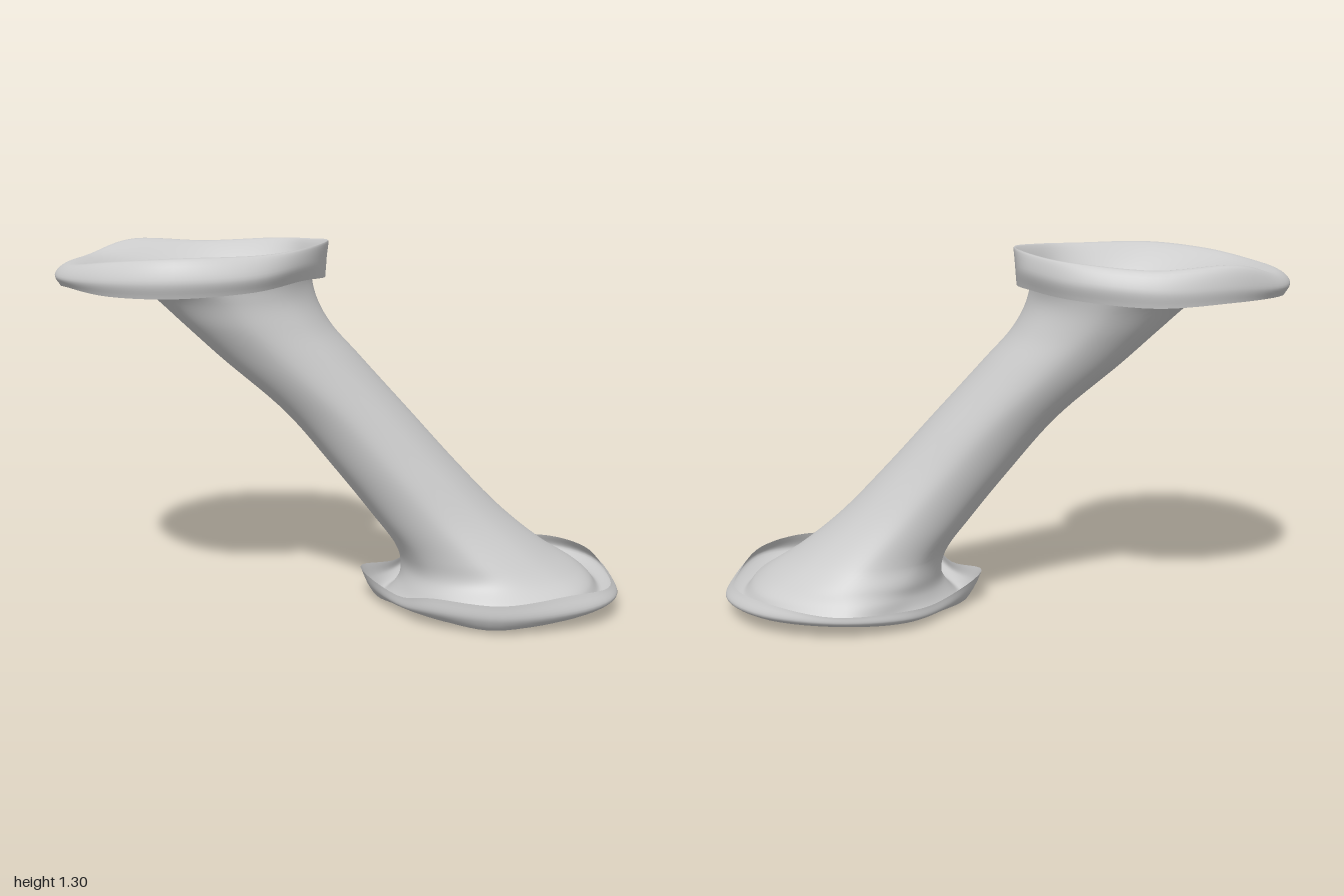
import * as THREE from 'three';

const AROUND = 72, ALONG = 96;
const vec = ([x, y, z]) => new THREE.Vector3(x, y, z);

// Horizontal oval section of the tube: height, left x, right x, half depth, centre z
function oval(y, xl, xr, d, zc = 0) {
  return Array.from({ length: 8 }, (_, i) => {
    const a = i * Math.PI / 4;
    return [(xl + xr) / 2 + Math.cos(a) * (xr - xl) / 2, y, zc + Math.sin(a) * d];
  });
}

// Upper rim: free edge, outer bulge, crest, mouth (evenly round, from +x towards +z)
const upperRim = [
  [[-.055, 1.175, -.02], [-.13, 1.185, .19], [-.28, 1.168, .37], [-.53, 1.155, .44],
    [-.76, 1.155, .375], [-.925, 1.165, .205], [-.98, 1.15, 0], [-.935, 1.16, -.215],
    [-.77, 1.16, -.37], [-.52, 1.15, -.442], [-.26, 1.165, -.375], [-.11, 1.175, -.2]],
  [[-.05, 1.24, -.02], [-.12, 1.24, .2], [-.27, 1.22, .38], [-.53, 1.21, .452],
    [-.77, 1.205, .385], [-.94, 1.195, .21], [-1, 1.195, 0], [-.95, 1.195, -.22],
    [-.78, 1.21, -.375], [-.52, 1.205, -.448], [-.25, 1.225, -.385], [-.1, 1.24, -.21]],
  [[-.045, 1.305, -.02], [-.12, 1.295, .18], [-.27, 1.285, .33], [-.53, 1.283, .41],
    [-.75, 1.265, .34], [-.9, 1.24, .19], [-.945, 1.235, 0], [-.92, 1.237, -.2],
    [-.78, 1.28, -.345], [-.52, 1.268, -.41], [-.25, 1.285, -.345], [-.12, 1.295, -.2]],
  [[-.1, 1.21, -.02], [-.19, 1.2, .2], [-.46, 1.19, .285], [-.68, 1.19, .215],
    [-.77, 1.195, -.01], [-.7, 1.2, -.22], [-.46, 1.2, -.305], [-.19, 1.2, -.225]],
];

// Slanted tube, from top to bottom
const tube = [
  oval(1.12, -.67, -.09, .258, -.005), oval(1.02, -.56, -.04, .24), oval(.9, -.43, .065, .226),
  oval(.7, -.2, .245, .212), oval(.5, -.03, .425, .216), oval(.33, .105, .59, .235, -.005),
  oval(.2, .2, .75, .27, -.012), oval(.13, .22, .86, .305, -.022),
];

// Lower rim: mouth, crest, outer bulge, free edge
const lowerRim = [
  [[.91, .09, 0], [.82, .085, .24], [.52, .08, .33], [.3, .08, .21],
    [.21, .07, 0], [.3, .08, -.22], [.52, .085, -.355], [.82, .09, -.26]],
  [[.95, .045, 0], [.9, .04, .2], [.75, .03, .34], [.53, .015, .4],
    [.37, .022, .33], [.24, .028, .2], [.14, .004, 0], [.24, .018, -.2],
    [.37, .02, -.31], [.53, .04, -.4], [.75, .04, -.35], [.91, .045, -.2]],
  [[1, .06, 0], [.96, .075, .25], [.81, .068, .38], [.55, .06, .44],
    [.32, .06, .36], [.2, .04, .21], [.1, .05, 0], [.2, .035, -.21],
    [.32, .045, -.365], [.55, .063, -.455], [.8, .07, -.41], [.96, .07, -.25]],
  [[.97, .1, 0], [.94, .115, .24], [.79, .13, .37], [.55, .115, .44],
    [.32, .115, .36], [.2, .075, .21], [.072, .112, 0], [.2, .07, -.21],
    [.32, .08, -.365], [.55, .088, -.455], [.78, .115, -.405], [.93, .115, -.25]],
];

// Loft a smooth skin through closed sections
function loft(sections) {
  const loops = sections.map(s => new THREE.CatmullRomCurve3(s.map(vec), true, 'catmullrom', .5));
  const position = [], index = [];
  for (let i = 0; i < AROUND; i++) {
    const column = new THREE.CatmullRomCurve3(loops.map(l => l.getPoint(i / AROUND)));
    for (let j = 0; j <= ALONG; j++) position.push(...column.getPoint(j / ALONG).toArray());
  }
  const at = (i, j) => (i % AROUND) * (ALONG + 1) + j;
  for (let i = 0; i < AROUND; i++) {
    for (let j = 0; j < ALONG; j++) {
      const a = at(i, j), b = at(i + 1, j), c = at(i + 1, j + 1), d = at(i, j + 1);
      index.push(a, b, c, a, c, d);
    }
  }
  const geometry = new THREE.BufferGeometry();
  geometry.setAttribute('position', new THREE.Float32BufferAttribute(position, 3));
  geometry.setIndex(index);
  geometry.computeVertexNormals();
  return geometry;
}

export function createModel() {
  const group = new THREE.Group();
  group.name = 'flaredTube';
  const material = new THREE.MeshStandardMaterial({ color: 0xcccccc, side: THREE.DoubleSide });
  // One open sheet: curled upper rim, tube, curled lower rim
  const skin = new THREE.Mesh(loft([...upperRim, ...tube, ...lowerRim]), material);
  skin.name = 'tubeWithCurledRims';
  group.add(skin);
  return group;
}
